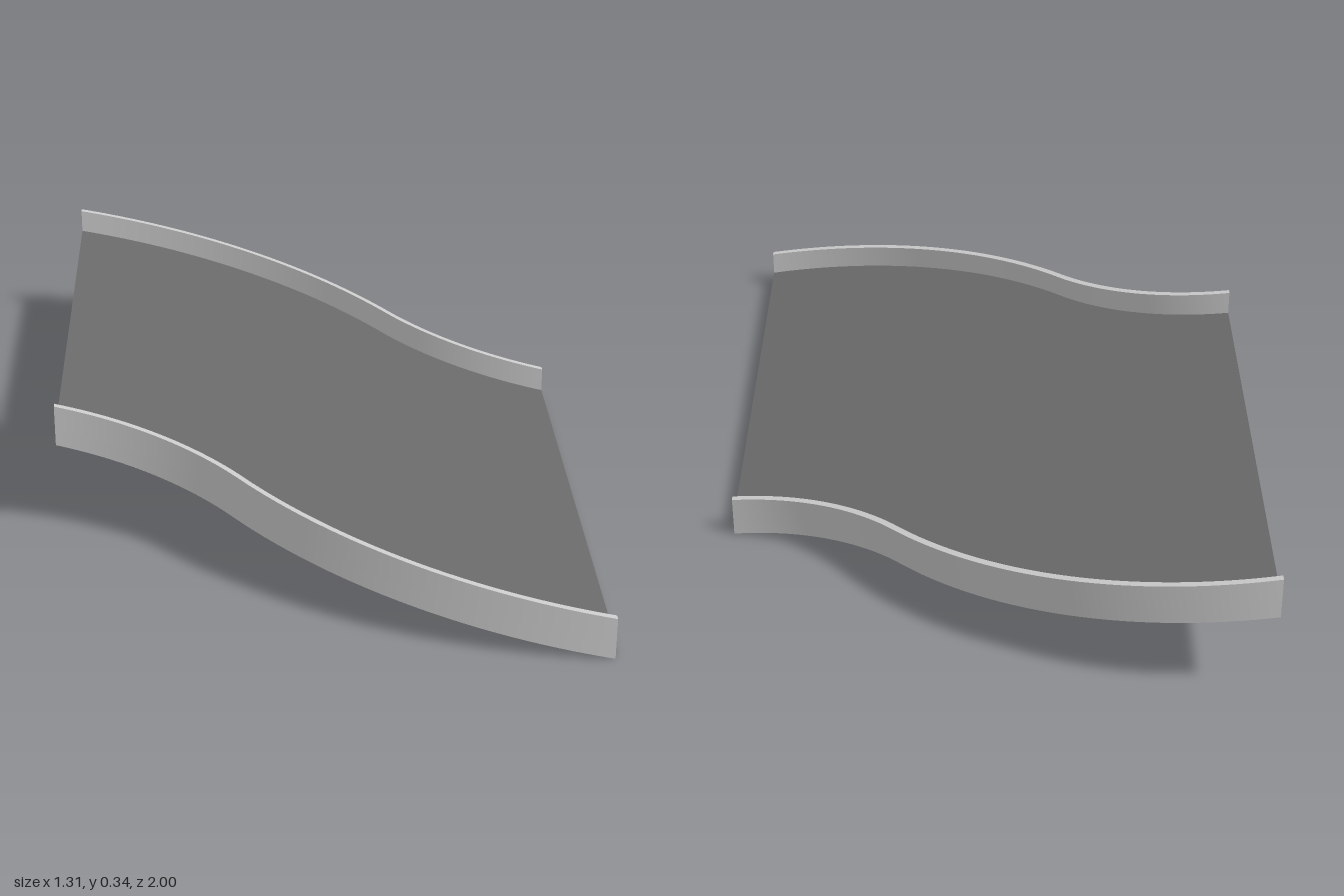
import * as THREE from 'three';

const HALF = 0.655;      // half length of the ramp along x
const RISE = 0.235;      // height gained from right end to left end
const DECK = 0.043;      // deck thickness
const WALL = 0.106;      // height of kerb top above the underside
const KERB = 0.016;      // kerb thickness
const LEAN = 0.17;       // kerbs stand square to the slope
const STEPS = 72;

// Back edge: a wide arc flowing into a tighter reverse arc. Returns z and sine of heading.
function backEdge(x) {
  const cosOf = (s) => Math.sqrt(1 - s * s);
  if (x < 0.22) {
    const s = 0.0523 + (x + HALF) / 1.25;
    return { z: -1 + 1.25 * (0.9986 - cosOf(s)), s };
  }
  const s = 0.752 - (x - 0.22) / 0.73;
  return { z: -0.575 + 0.73 * (cosOf(s) - 0.6592), s };
}

// Returns a rail x -> point, on side +1 (front) or -1 (back),
// u above the sloped underside and set in from the outer face by inset.
function rail(side, u, inset = 0) {
  return (x) => {
    const { z, s } = backEdge(-side * (x - LEAN * u));
    const depth = inset / Math.sqrt(1 - s * s);
    // the front edge is the back edge turned half a circle
    const y = RISE * (HALF - x) / (2 * HALF) + u;
    return [x, y, -side * (z + depth)];
  };
}

// Surface between pairs of rails, with optional flat end caps.
// Rails run up the front, over the top and down the back.
function loft(pairs, capRails = []) {
  const pos = [], index = [];
  for (const [a, b] of pairs) {
    const base = pos.length / 3;
    for (let i = 0; i <= STEPS; i++) {
      const x = -HALF + 2 * HALF * i / STEPS;
      pos.push(...a(x), ...b(x));
      if (i < STEPS) {
        const k = base + 2 * i;
        index.push(k, k + 2, k + 1, k + 1, k + 2, k + 3);
      }
    }
  }
  if (capRails.length) {
    for (const x of [-HALF, HALF]) {
      const k = pos.length / 3;
      const order = x < 0 ? capRails : [...capRails].reverse();
      order.forEach((r) => pos.push(...r(x)));
      index.push(k, k + 1, k + 2, k, k + 2, k + 3);
    }
  }
  const g = new THREE.BufferGeometry();
  g.setAttribute('position', new THREE.Float32BufferAttribute(pos, 3));
  g.setIndex(index);
  g.computeVertexNormals();
  return g;
}

export function createModel() {
  const group = new THREE.Group();
  group.name = 'curvedRamp';
  const light = new THREE.MeshStandardMaterial({ color: 0xcccccc, side: THREE.DoubleSide });
  const dark = new THREE.MeshStandardMaterial({ color: 0x6a6a6a, side: THREE.DoubleSide });
  const add = (name, geometry, material) => {
    const mesh = new THREE.Mesh(geometry, material);
    mesh.name = name;
    group.add(mesh);
  };

  // Sloping deck: top, underside and the two straight ends
  const fb = rail(1, 0), ft = rail(1, DECK), bt = rail(-1, DECK), bb = rail(-1, 0);
  add('deck', loft([[ft, bt], [bb, fb]], [fb, ft, bt, bb]), dark);

  // Kerbs along both curved edges; the outer face covers the deck side
  for (const side of [1, -1]) {
    const bottom = rail(side, 0), outer = rail(side, DECK), outerTop = rail(side, WALL);
    const innerTop = rail(side, WALL, KERB), inner = rail(side, DECK, KERB);
    const loop = [outer, outerTop, innerTop, inner];
    const faces = [[bottom, outer], [outer, outerTop], [outerTop, innerTop], [innerTop, inner]];
    // mirrored side runs the other way round
    if (side < 0) {
      loop.reverse();
      faces.forEach((f) => f.reverse());
    }
    add(side > 0 ? 'frontKerb' : 'backKerb', loft(faces, loop), light);
  }
  return group;
}
